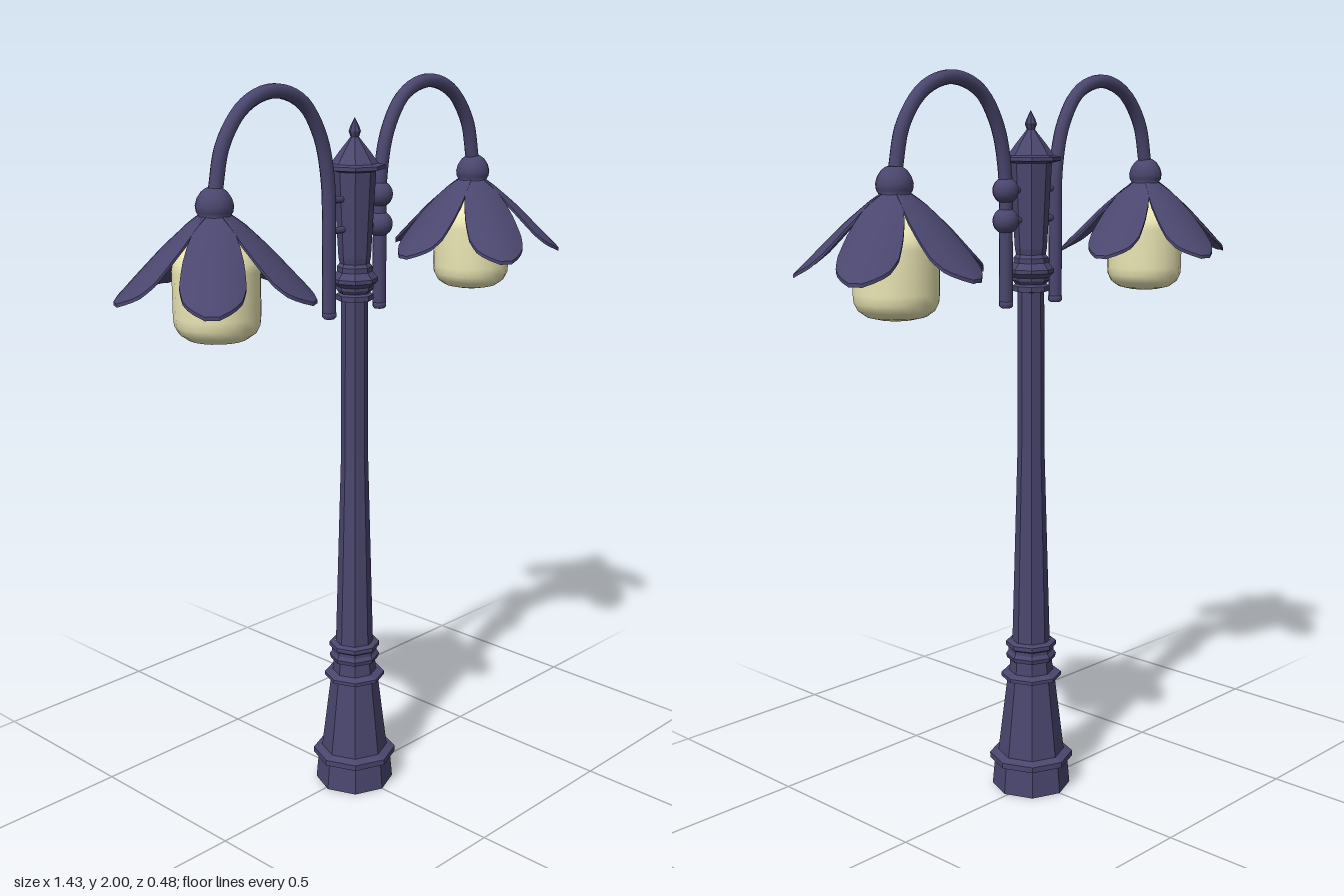
import * as THREE from 'three';

const metal = new THREE.MeshStandardMaterial({ color: 0x4a466e });
const metalFlat = new THREE.MeshStandardMaterial({ color: 0x4a466e, flatShading: true });
const glass = new THREE.MeshStandardMaterial({ color: 0xebe6b4 });

const ARM_X = 0.097, LAMP_X = 0.485;

function add(parent, name, geometry, material, x = 0, y = 0, z = 0) {
  const mesh = new THREE.Mesh(geometry, material);
  mesh.name = name;
  mesh.position.set(x, y, z);
  parent.add(mesh);
  return mesh;
}

function lathe(profile, sides) {
  return new THREE.LatheGeometry(profile.map(([r, y]) => new THREE.Vector2(r, y)), sides);
}

// Linear lookup in a short list of [position, value] pairs
function sample(table, t) {
  for (let i = 1; i < table.length; i++) {
    const [a, va] = table[i - 1], [b, vb] = table[i];
    if (t <= b) return THREE.MathUtils.mapLinear(t, a, b, va, vb);
  }
  return table[table.length - 1][1];
}

// Arched petal pointing along +x: a thin slab bent by its width and ridge curves
const petalWidth = [[0.03, 0.028], [0.06, 0.046], [0.09, 0.061], [0.13, 0.073], [0.17, 0.078],
  [0.2, 0.071], [0.225, 0.053], [0.242, 0.031], [0.25, 0.016]];
const petalRidge = [[0.03, 1.705], [0.06, 1.685], [0.12, 1.635], [0.18, 1.577], [0.25, 1.508]];

function petalGeometry() {
  const g = new THREE.BoxGeometry(1, 1, 1, 14, 1, 6);
  const p = g.attributes.position;
  for (let i = 0; i < p.count; i++) {
    const r = 0.03 + 0.22 * (p.getX(i) + 0.5);
    const side = p.getZ(i) * 2 * sample(petalWidth, r);
    const drop = 0.025 * (side / 0.078) ** 2;
    p.setXYZ(i, r, sample(petalRidge, r) - drop + (p.getY(i) - 0.5) * 0.009, side);
  }
  g.computeVertexNormals();
  return g;
}

function createLamp(s) {
  const lamp = new THREE.Group();
  lamp.name = s > 0 ? 'leftLamp' : 'rightLamp';
  lamp.position.x = s * LAMP_X;

  add(lamp, 'lampCap', lathe([[0, 1.68], [0.045, 1.68], [0.05, 1.69], [0.038, 1.698], [0.045, 1.71],
    [0.047, 1.725], [0.042, 1.742], [0.032, 1.757], [0.02, 1.766], [0, 1.768]], 16), metal);

  add(lamp, 'bulb', lathe([[0, 1.393], [0.045, 1.395], [0.075, 1.402], [0.096, 1.417], [0.106, 1.437],
    [0.108, 1.46], [0.108, 1.57], [0.104, 1.592], [0.09, 1.615], [0.065, 1.635], [0.035, 1.66],
    [0, 1.665]], 20), glass);

  // Five petals, mirrored between the two lamps
  const shape = petalGeometry();
  for (let i = 0; i < 5; i++) {
    const a = THREE.MathUtils.degToRad((s > 0 ? 26 : 154) + s * 72 * i);
    add(lamp, 'petal', shape, metal).rotation.y = a;
  }
  return lamp;
}

function createArm(s) {
  const arm = new THREE.Group();
  arm.name = s > 0 ? 'leftArm' : 'rightArm';
  const path = new THREE.CatmullRomCurve3([[ARM_X, 1.4], [ARM_X, 1.58], [0.1, 1.75], [0.128, 1.865],
    [0.19, 1.95], [0.287, 1.981], [0.384, 1.95], [0.454, 1.865], [0.482, 1.755]]
    .map(([x, y]) => new THREE.Vector3(s * x, y, 0)));
  add(arm, 'curvedPipe', new THREE.TubeGeometry(path, 48, 0.0185, 10), metal);
  add(arm, 'pipeEnd', lathe([[0, 1.388], [0.014, 1.388], [0.019, 1.393], [0.019, 1.405], [0, 1.405]], 10),
    metal, s * ARM_X);
  return arm;
}

export function createModel() {
  const model = new THREE.Group();
  model.name = 'streetLamp';
  const body = new THREE.Group();
  body.name = 'lampPost';
  body.position.z = 0.01;
  model.add(body);

  // Eight-sided post, in stacked sections
  add(body, 'base', lathe([[0, 0], [0.111, 0], [0.104, 0.077], [0.118, 0.08], [0.118, 0.096],
    [0.094, 0.104], [0.067, 0.325], [0.085, 0.328], [0.085, 0.338], [0.062, 0.345], [0.059, 0.38],
    [0.068, 0.383], [0.071, 0.395], [0.064, 0.405], [0.064, 0.415], [0.071, 0.42], [0.071, 0.432],
    [0.055, 0.437]], 8), metalFlat);
  add(body, 'shaft', lathe([[0.053, 0.43], [0.037, 1.0], [0.036, 1.43]], 8), metalFlat);
  add(body, 'collar', lathe([[0.036, 1.424], [0.05, 1.426], [0.05, 1.44], [0.042, 1.445], [0.05, 1.455],
    [0.05, 1.463], [0.062, 1.475], [0.062, 1.485], [0.047, 1.502], [0.047, 1.515], [0.039, 1.525]], 8), metalFlat);
  add(body, 'head', lathe([[0.039, 1.52], [0.043, 1.54], [0.056, 1.765], [0.08, 1.771], [0.08, 1.781],
    [0.062, 1.785], [0.04, 1.815], [0.02, 1.84], [0.011, 1.852], [0.016, 1.866], [0.011, 1.88],
    [0, 1.902]], 8), metalFlat);

  for (const s of [1, -1]) body.add(createArm(s), createLamp(s));

  // Cross bars through the head, each ending in a ball on one pipe
  const bar = new THREE.CylinderGeometry(0.009, 0.009, ARM_X * 2, 8).rotateZ(Math.PI / 2);
  const ball = new THREE.SphereGeometry(0.035, 14, 10);
  for (const y of [1.617, 1.696]) {
    add(body, 'crossBar', bar, metal, 0, y);
    add(body, 'ball', ball, metal, ARM_X, y);
  }
  return model;
}
